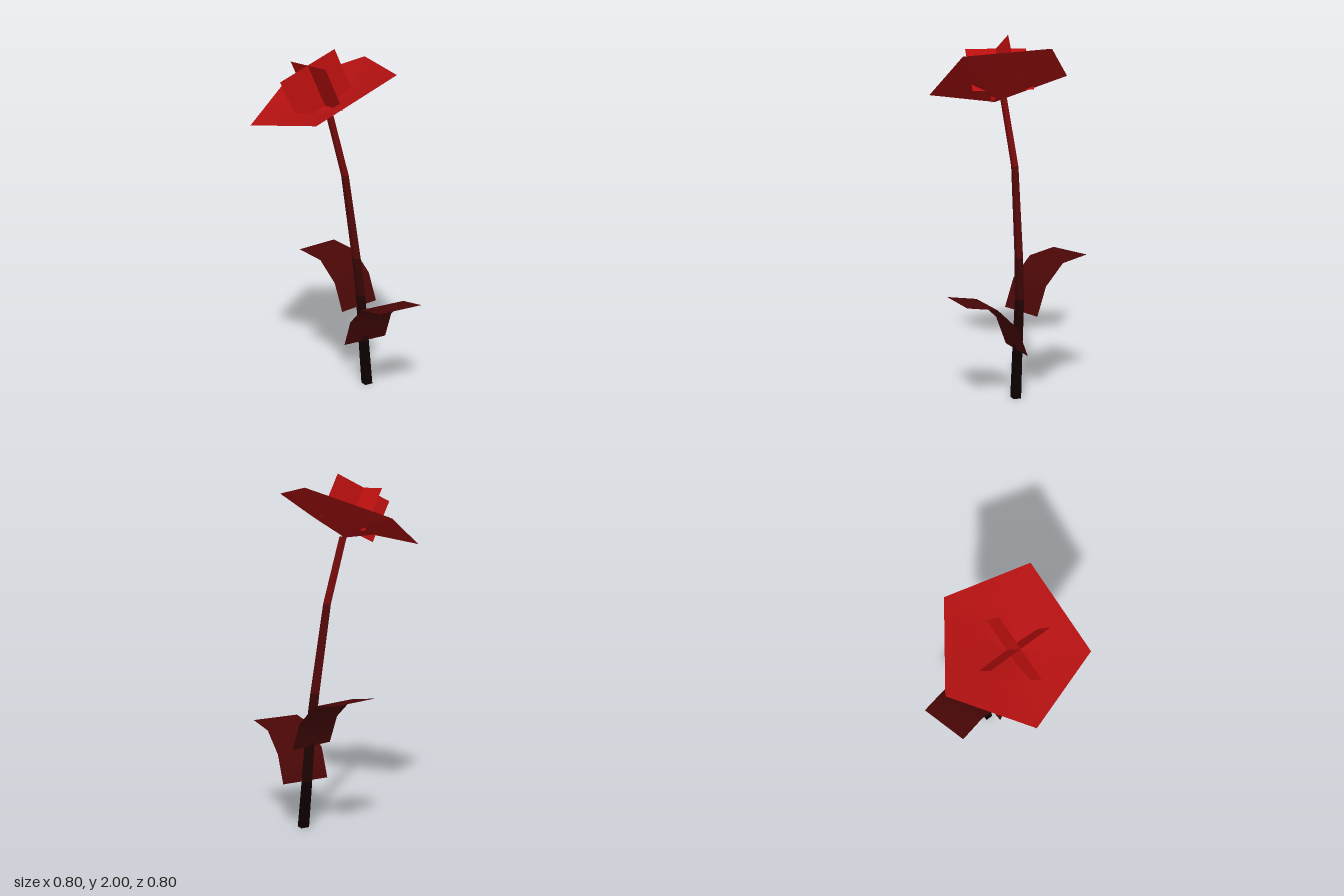
import * as THREE from 'three';

const V = (x, y, z) => new THREE.Vector3(x, y, z);

// Skins a surface over rows of points (all rows equally long)
function skin(name, rows, color, flat = false) {
  const n = rows[0].length, index = [];
  for (let r = 0; r < rows.length - 1; r++) {
    for (let c = 0; c < n - 1; c++) {
      const a = r * n + c, b = a + 1, d = a + n, e = d + 1;
      index.push(a, b, e, a, e, d);
    }
  }
  const geo = new THREE.BufferGeometry().setFromPoints(rows.flat());
  geo.setIndex(index);
  geo.computeVertexNormals();
  const mat = new THREE.MeshStandardMaterial({ color, side: THREE.DoubleSide, flatShading: flat });
  const mesh = new THREE.Mesh(geo, mat);
  mesh.name = name;
  return mesh;
}

// Bent rectangular leaf growing along +z from its base
function leaf(name, base, turn, color) {
  const profile = [[0, 0], [0.06, 0.16], [0.18, 0.275], [0.355, 0.303]];
  const w = 0.144;
  const mesh = skin(name, profile.map(([z, y]) => [V(w, y, z), V(-w, y, z)]), color);
  mesh.position.copy(base);
  mesh.rotation.y = turn;
  return mesh;
}

export function createModel() {
  const group = new THREE.Group();

  // Four-sided tapering stem, growing redder with height
  const stem = new THREE.Group();
  stem.name = 'stem';
  const path = [
    [0.265, 0, 0.055, 0.027], [0.25, 0.27, 0.038, 0.025], [0.237, 0.55, 0.02, 0.023],
    [0.21, 0.78, 0.012, 0.021], [0.135, 1.28, 0.003, 0.018], [0.02, 1.65, 0.02, 0.017],
  ];
  const rings = path.map(([x, y, z, r]) => Array.from({ length: 5 }, (_, i) => {
    const a = Math.PI / 4 + i * Math.PI / 2;
    return V(x + r * 1.3 * Math.cos(a), y, z + r * 1.15 * Math.sin(a));
  }));
  const stemColors = [0x0c0000, 0x200202, 0x380505, 0x550808, 0x780b0b];
  stemColors.forEach((color, i) => {
    stem.add(skin('stemSegment' + (i + 1), [rings[i + 1], rings[i]], color, true));
  });
  group.add(stem);

  // Two leaves on opposite sides of the stem
  group.add(leaf('frontLeaf', V(0.255, 0.272, 0.045), 0.01, 0x4a0707));
  group.add(leaf('backLeaf', V(0.235, 0.48, 0.01), Math.PI + 0.24, 0x4a0707));

  // Shallow tilted five-cornered bowl of outer petals
  const heart = V(0.01, 1.645, 0.02);
  const rim = [
    V(-0.03, 1.765, -0.4), V(-0.4, 1.602, -0.11), V(-0.26, 1.66, 0.355),
    V(0.24, 1.885, 0.35), V(0.34, 1.925, -0.12),
  ];
  rim.push(rim[0].clone());
  const middle = rim.map((p) => {
    const q = V(p.x * 0.5, 0, p.z * 0.5);
    q.y = 1.77 + 0.44 * q.x - (0.05 + 0.16 * q.x);
    return q;
  });
  group.add(skin('outerPetals', [rim.map(() => heart.clone()), middle, rim], 0xb01010));

  // Two crossed upright petals in the heart of the flower
  const foot = V(0, 1.692, 0.01), rise = V(-0.11, 0.228, 0);
  const crossed = [['innerPetalAcross', V(0.17, 0.078, 0)], ['innerPetalDeep', V(0, 0, 0.187)]];
  for (const [name, half] of crossed) {
    const row = [foot.clone().add(half), foot.clone().sub(half)];
    group.add(skin(name, [row, row.map((p) => p.clone().add(rise))], 0xc41010));
  }

  return group;
}
